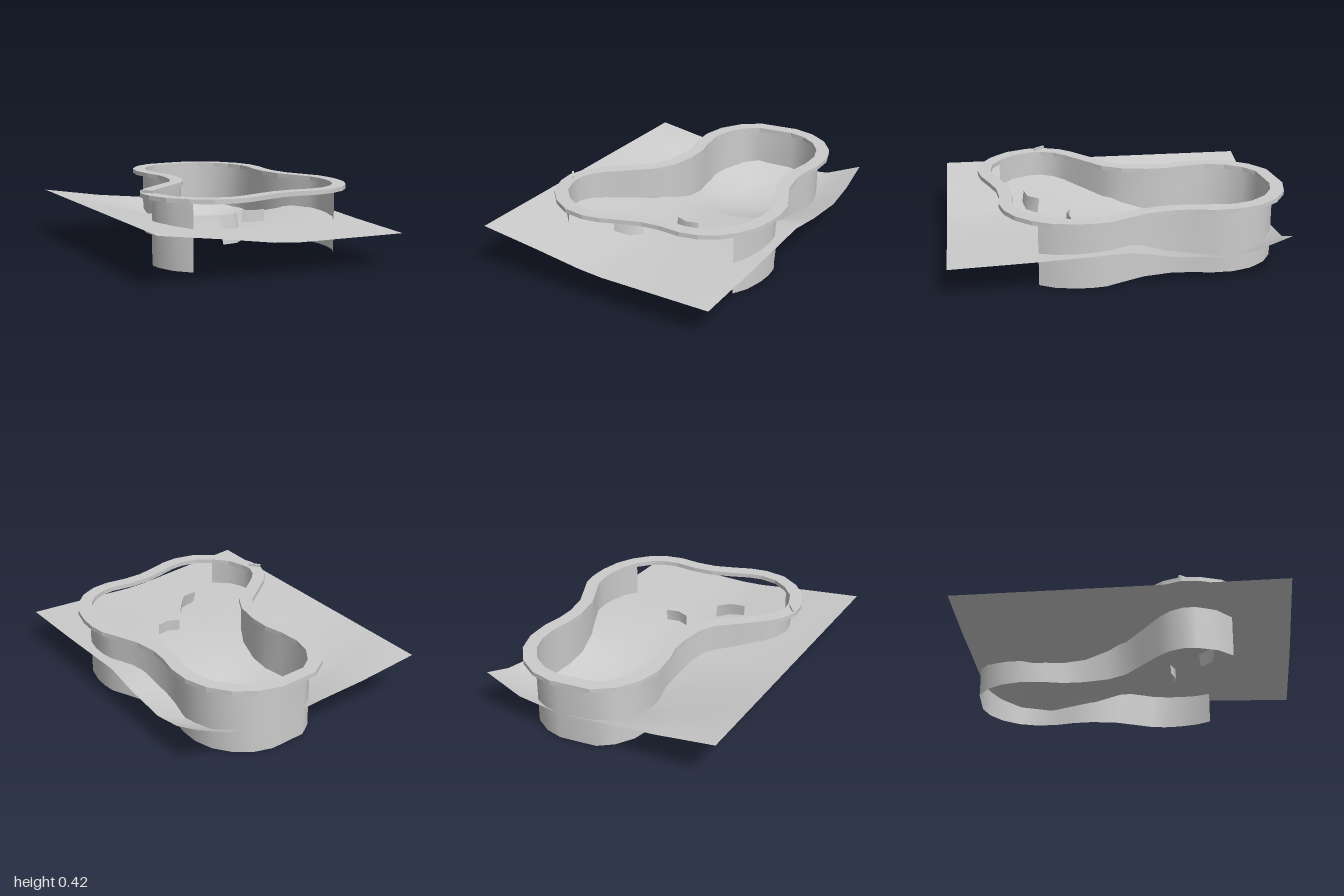
import * as THREE from 'three';

const material = new THREE.MeshStandardMaterial({ color: 0xcccccc, side: THREE.DoubleSide });

// Outer edge of the rim as [x, z], clockwise from the back
const OUTLINE = [
  [0.14, -1], [0.27, -0.985], [0.39, -0.925], [0.485, -0.825], [0.54, -0.70],
  [0.555, -0.565], [0.545, -0.45], [0.55, -0.345], [0.587, -0.21], [0.655, -0.09],
  [0.708, 0], [0.73, 0.095], [0.735, 0.195], [0.72, 0.317], [0.677, 0.423],
  [0.61, 0.513], [0.52, 0.577], [0.423, 0.608], [0.296, 0.614], [0.19, 0.635],
  [0.085, 0.682], [-0.02, 0.735], [-0.116, 0.762], [-0.243, 0.757], [-0.36, 0.70],
  [-0.46, 0.61], [-0.518, 0.492], [-0.535, 0.397], [-0.508, 0.29], [-0.455, 0.21],
  [-0.349, 0.095], [-0.243, -0.016], [-0.206, -0.106], [-0.196, -0.238], [-0.206, -0.344],
  [-0.243, -0.45], [-0.27, -0.593], [-0.254, -0.73], [-0.19, -0.857], [-0.09, -0.947],
];

// Moves the outline inwards by a distance
function inset(points, d) {
  const n = points.length;
  return points.map(([x, z], i) => {
    const a = points[(i + n - 1) % n], b = points[(i + 1) % n];
    const tx = b[0] - a[0], tz = b[1] - a[1], l = Math.hypot(tx, tz);
    return [x - (tz / l) * d, z + (tx / l) * d];
  });
}

// Smooth sheet through rows of [x, y, z] points
function sheet(name, rows) {
  const w = rows[0].length, index = [];
  for (let r = 0; r < rows.length - 1; r++) {
    for (let c = 0; c < w - 1; c++) {
      const a = r * w + c, b = a + w;
      index.push(a, b, a + 1, a + 1, b, b + 1);
    }
  }
  const g = new THREE.BufferGeometry();
  g.setAttribute('position', new THREE.Float32BufferAttribute(rows.flat(2), 3));
  g.setIndex(index);
  g.computeVertexNormals();
  const mesh = new THREE.Mesh(g, material);
  mesh.name = name;
  return mesh;
}

// Flat ring around the top of the wall
function makeRim() {
  const toShape = (pts) => pts.map(([x, z]) => new THREE.Vector2(x, -z));
  const shape = new THREE.Shape(toShape(OUTLINE));
  shape.holes.push(new THREE.Path(toShape(inset(OUTLINE, 0.077))));
  const g = new THREE.ExtrudeGeometry(shape, { depth: 0.025, bevelEnabled: false });
  g.rotateX(-Math.PI / 2);
  const rim = new THREE.Mesh(g, material);
  rim.name = 'rim';
  rim.position.y = 0.375;
  return rim;
}

// Upright wall under the rim, open at the front
function makeWall() {
  const line = inset(OUTLINE, 0.065);
  const path = [...line.slice(24), ...line.slice(0, 15)];
  return sheet('wall', [0.38, 0].map((y) => path.map(([x, z]) => [x, y, z])));
}

// Ground sheet with a hollow under the back of the basin
function makeGround() {
  const us = [0, 0.25, 0.45, 0.55, 0.68, 0.85, 1];
  const vs = [0, 0.1, 0.2, 0.35, 0.47, 0.75, 1];
  const heights = [
    [0.275, 0.22, 0.19, 0.17, 0.155, 0.18, 0.27],
    [0.275, 0.20, 0.13, 0.09, 0.06, 0.11, 0.20],
    [0.275, 0.185, 0.10, 0.06, 0.02, 0.08, 0.165],
    [0.275, 0.20, 0.13, 0.10, 0.08, 0.13, 0.185],
    [0.275, 0.22, 0.19, 0.18, 0.18, 0.20, 0.22],
    [0.275, 0.23, 0.19, 0.18, 0.18, 0.18, 0.195],
    [0.275, 0.23, 0.19, 0.18, 0.18, 0.18, 0.18],
  ];
  // Corners: back right, back left, front right, front left
  const mix = THREE.MathUtils.lerp;
  return sheet('ground', vs.map((v, r) => us.map((u, c) => [
    mix(mix(-0.8, 0.62, u), mix(-0.63, 0.8, u), v),
    heights[r][c],
    mix(mix(-0.84, -0.98, u), mix(1, 0.865, u), v),
  ])));
}

// Small bent panel, leaning by an offset at its foot
function makePanel(name, points, top, bottom, lean) {
  return sheet(name, [
    points.map(([x, z]) => [x, top, z]),
    points.map(([x, z]) => [x + lean[0], bottom, z + lean[1]]),
  ]);
}

export function createModel() {
  const model = new THREE.Group();
  model.name = 'basin';
  model.add(makeGround(), makeWall(), makeRim());

  // Two bent panels standing in the ground
  model.add(makePanel('leaningPanel', [[-0.125, 0.495], [-0.035, 0.47], [0.015, 0.4]], 0.27, 0.113, [0.02, 0.02]));
  model.add(makePanel('uprightPanel', [[0.12, 0.222], [0.19, 0.24], [0.26, 0.215]], 0.248, 0.122, [0, 0.008]));

  // Small tab lying on the rim
  const tab = new THREE.Mesh(new THREE.BoxGeometry(0.075, 0.015, 0.012), material);
  tab.name = 'rimTab';
  tab.position.set(-0.5, 0.41, 0.41);
  tab.rotation.y = -0.8;
  model.add(tab);
  return model;
}
